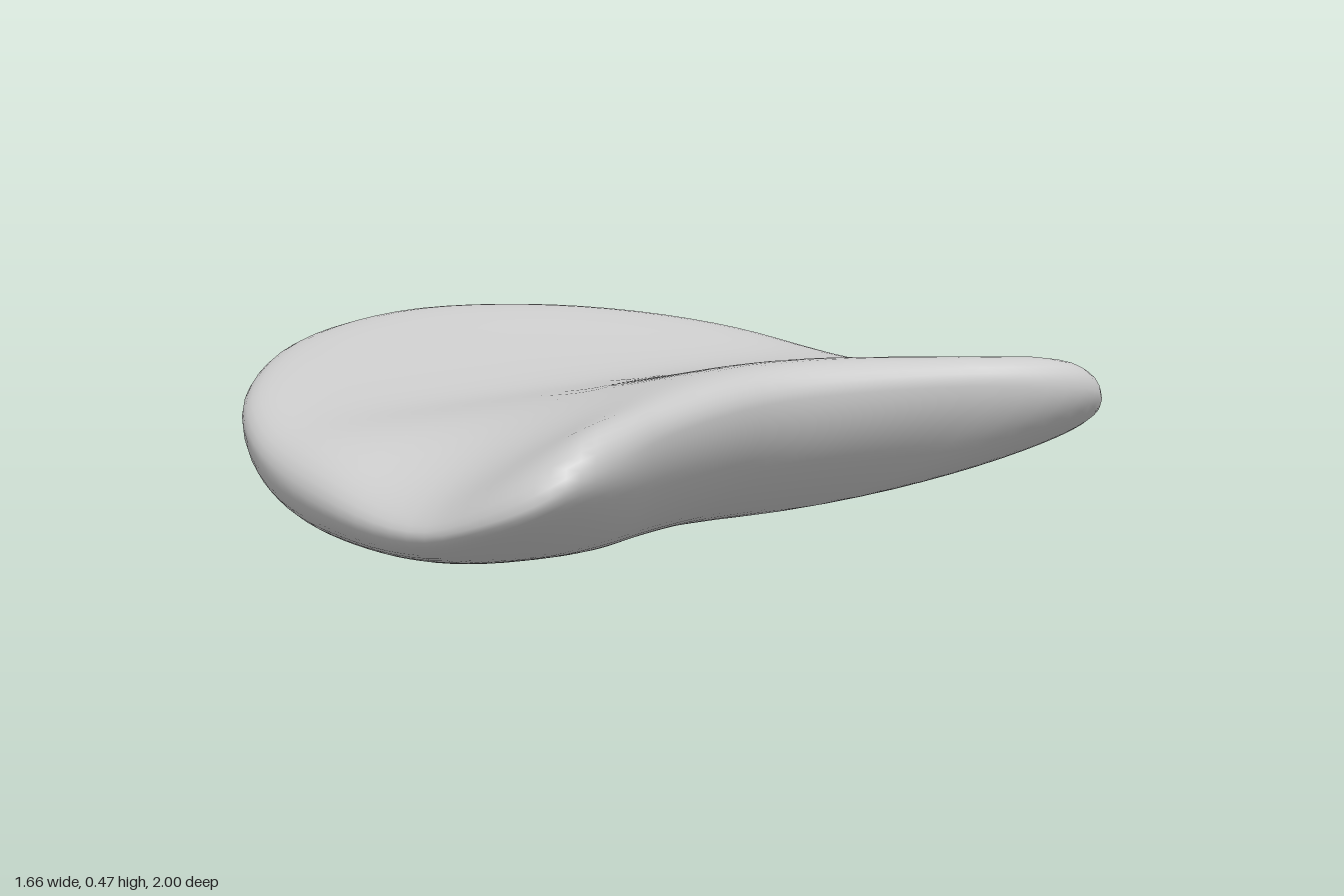
import * as THREE from 'three';

// Half of the rim, from the rounded back to the middle of the notch: x, height, z
const HALF_RIM = [
  [-0.835, 0.4, 0], [-0.79, 0.4, 0.26], [-0.69, 0.39, 0.5], [-0.54, 0.37, 0.7],
  [-0.38, 0.33, 0.85], [-0.21, 0.28, 0.94], [-0.04, 0.24, 0.985], [0.14, 0.21, 1],
  [0.32, 0.19, 1.0], [0.5, 0.2, 1], [0.67, 0.25, 0.985], [0.78, 0.3, 0.935],
  [0.83, 0.35, 0.85], [0.8, 0.37, 0.7], [0.72, 0.385, 0.5], [0.64, 0.39, 0.25], [0.595, 0.39, 0],
];
const CENTRE_X = -0.05;

// Upper surface: a soft valley rising to both ends, sagging at the sides, with a raised lip
const topHeight = (x, z, r) =>
  0.325 + Math.hypot(0.23 * (x + 0.12), 0.03)
  - 0.21 * z * z * Math.exp(-(((x - 0.47) / 0.35) ** 2))
  + 0.045 * r ** 4 * (x < 0 ? 1 : Math.exp(-4 * x * x));

// Shallow bowl underneath
const bottomHeight = (x) => 0.2 * (x + 0.08) ** 2;

function cushionGeometry(around = 96, rings = 40) {
  const mirrored = HALF_RIM.slice(1, -1).reverse().map(([x, y, z]) => [x, y, -z]);
  const points = [...HALF_RIM, ...mirrored].map((p) => new THREE.Vector3(...p));
  const rim = new THREE.CatmullRomCurve3(points, true);

  // Rings run from the top centre out to the rim and back in underneath
  const positions = [CENTRE_X, topHeight(CENTRE_X, 0, 0), 0];
  for (let j = 1; j < rings; j++) {
    const r = Math.sin((j / rings) * Math.PI);
    const isTop = j <= rings / 2;
    const blend = Math.sqrt(Math.max(0, 1 - r ** (isTop ? 6.5 : 2.8)));
    for (let i = 0; i < around; i++) {
      const edge = rim.getPoint(i / around);
      const x = CENTRE_X + (edge.x - CENTRE_X) * r;
      const z = edge.z * r;
      const surface = isTop ? topHeight(x, z, r) : bottomHeight(x);
      positions.push(x, edge.y + (surface - edge.y) * blend, z);
    }
  }
  positions.push(CENTRE_X, bottomHeight(CENTRE_X), 0);

  const last = positions.length / 3 - 1;
  const at = (j, i) => 1 + (j - 1) * around + (i % around);
  const index = [];
  for (let i = 0; i < around; i++) {
    index.push(0, at(1, i), at(1, i + 1));
    for (let j = 1; j < rings - 1; j++) {
      index.push(at(j, i), at(j + 1, i), at(j + 1, i + 1));
      index.push(at(j, i), at(j + 1, i + 1), at(j, i + 1));
    }
    index.push(at(rings - 1, i), last, at(rings - 1, i + 1));
  }

  const geometry = new THREE.BufferGeometry();
  geometry.setAttribute('position', new THREE.Float32BufferAttribute(positions, 3));
  geometry.setIndex(index);
  geometry.computeVertexNormals();
  return geometry;
}

export function createModel() {
  const group = new THREE.Group();
  group.name = 'crescentCushion';
  const body = new THREE.Mesh(
    cushionGeometry(),
    new THREE.MeshStandardMaterial({ color: 0xcccccc }),
  );
  body.name = 'cushionBody';
  group.add(body);
  return group;
}
